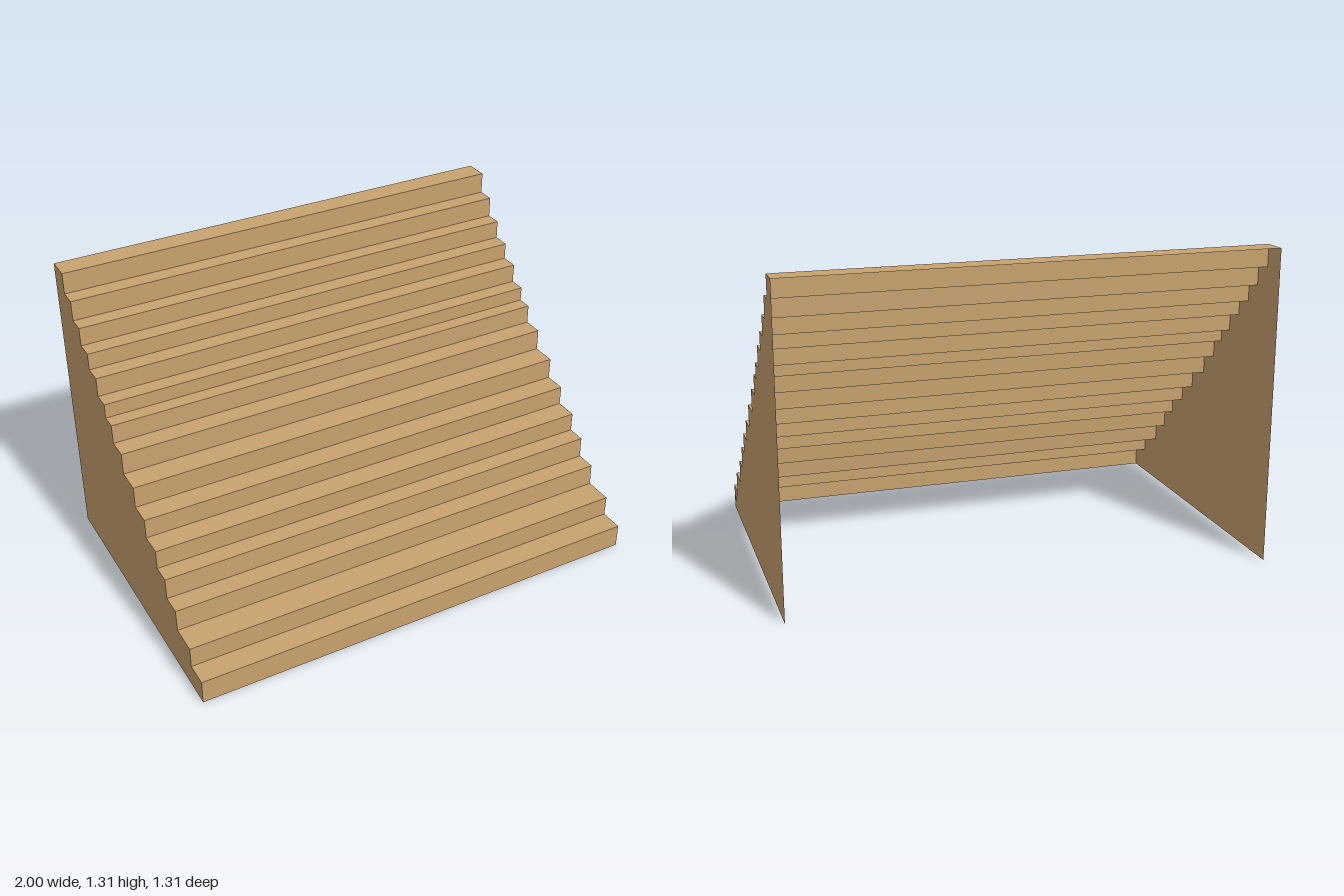
import * as THREE from 'three';

// Step edges from front to back: [z at riser foot, z at riser top, tread height]
const STEPS = [
  [0.655, 0.655, 0.105], [0.555, 0.555, 0.196], [0.434, 0.43, 0.291], [0.344, 0.341, 0.384],
  [0.262, 0.262, 0.469], [0.164, 0.164, 0.556], [0.068, 0.068, 0.651], [-0.038, -0.039, 0.746],
  [-0.126, -0.127, 0.83], [-0.19, -0.19, 0.893], [-0.26, -0.26, 0.977], [-0.336, -0.336, 1.05],
  [-0.41, -0.41, 1.13], [-0.48, -0.48, 1.218], [-0.553, -0.553, 1.31],
];
const BACK = -0.653;

export function createModel() {
  const group = new THREE.Group();
  const wood = new THREE.MeshStandardMaterial({ color: 0xc8a26e, side: THREE.DoubleSide });
  wood.name = 'tan wood';

  const add = (geometry, name) => {
    const mesh = new THREE.Mesh(geometry, wood);
    mesh.name = name;
    group.add(mesh);
  };

  // Zigzag outline of the stairs as [z, y] points
  const profile = [];
  let floor = 0;
  for (const [foot, top, height] of STEPS) {
    profile.push([foot, floor], [top, height]);
    floor = height;
  }
  profile.push([BACK, floor]);

  // Risers and treads: one thin sheet folded along the outline
  const positions = [];
  for (let i = 0; i + 1 < profile.length; i++) {
    const [z0, y0] = profile[i];
    const [z1, y1] = profile[i + 1];
    const a = [-1, y0, z0], b = [1, y0, z0], c = [1, y1, z1], d = [-1, y1, z1];
    positions.push(...a, ...b, ...c, ...a, ...c, ...d);
  }
  const sheet = new THREE.BufferGeometry();
  sheet.setAttribute('position', new THREE.Float32BufferAttribute(positions, 3));
  sheet.computeVertexNormals();
  add(sheet, 'steps');

  // Flat side walls, facing outwards
  const addWall = (points, side, name) => {
    const shape = new THREE.Shape(points.map(([z, y]) => new THREE.Vector2(-side * z, y)));
    const geometry = new THREE.ShapeGeometry(shape);
    geometry.rotateY(side * Math.PI / 2).translate(side, 0, 0);
    add(geometry, name);
  };
  addWall([...profile, [BACK, 0]], -1, 'rightWall');

  // The left wall has a narrow slit beside its first step
  const lowFront = [0.655, 0.012];
  addWall([profile[0], lowFront, ...profile.slice(2), [BACK, 0]], 1, 'leftWall');
  addWall([lowFront, profile[1], [0.583, 0.105]], 1, 'leftWallCorner');

  return group;
}
